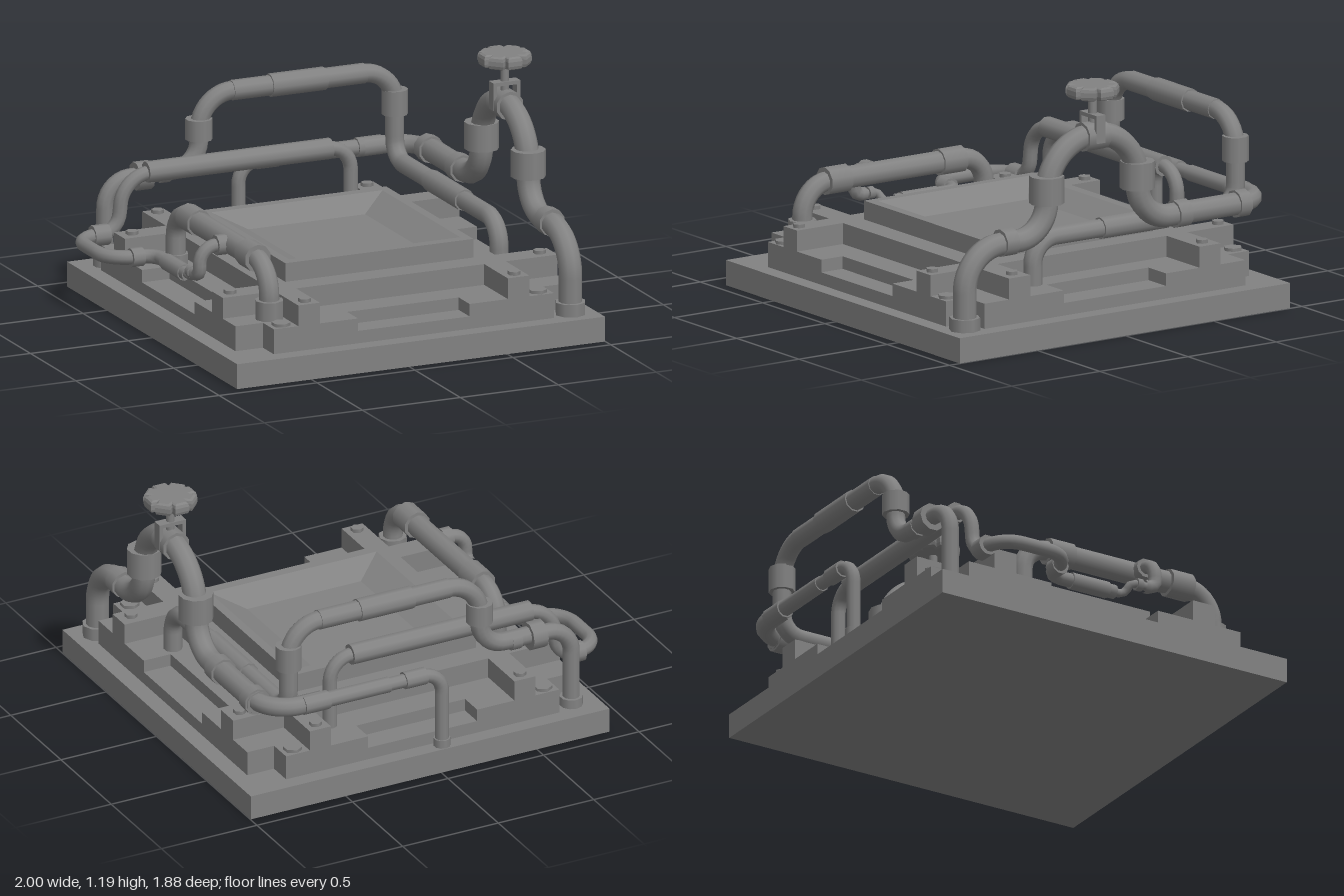
import * as THREE from 'three';

const mat = new THREE.MeshStandardMaterial({ color: 0x828282 });
const CX = 0.059; // centre line of the plate in x
const V = (p) => new THREE.Vector3(...p);

export function createModel() {
  const root = new THREE.Group();
  const add = (name, geo, x = 0, y = 0, z = 0) => {
    const m = new THREE.Mesh(geo, mat);
    m.name = name;
    m.position.set(x, y, z);
    root.add(m);
    return m;
  };
  // Box given by its limits
  const box = (name, x0, x1, y0, y1, z0, z1) =>
    add(name, new THREE.BoxGeometry(x1 - x0, y1 - y0, z1 - z0), (x0 + x1) / 2, (y0 + y1) / 2, (z0 + z1) / 2);
  // Flat outline raised from y0 to y1
  const slab = (name, shape, y0, y1) =>
    add(name, new THREE.ExtrudeGeometry(shape, { depth: y1 - y0, bevelEnabled: false }).rotateX(-Math.PI / 2), CX, y0, 0);
  // Round sleeve centred on a point, along axis 'x', 'y' or 'z'
  const collar = (name, p, axis, r, len, sides = 10) => {
    const g = new THREE.CylinderGeometry(r, r, len, sides);
    if (axis === 'x') g.rotateZ(Math.PI / 2);
    if (axis === 'z') g.rotateX(Math.PI / 2);
    return add(name, g, ...p);
  };
  // Pipe through corner points [x, y, z, bendRadius]
  const pipe = (name, r, pts) => {
    const path = new THREE.CurvePath();
    let from = V(pts[0].slice(0, 3));
    for (let i = 1; i < pts.length; i++) {
      const c = V(pts[i].slice(0, 3));
      if (i === pts.length - 1) { path.add(new THREE.LineCurve3(from, c)); break; }
      const bend = pts[i][3];
      const din = c.clone().sub(V(pts[i - 1].slice(0, 3))).normalize();
      const dout = V(pts[i + 1].slice(0, 3)).sub(c).normalize();
      const a = c.clone().addScaledVector(din, -bend);
      const b = c.clone().addScaledVector(dout, bend);
      if (a.distanceTo(from) > 1e-4) path.add(new THREE.LineCurve3(from, a));
      path.add(new THREE.CubicBezierCurve3(a, a.clone().addScaledVector(din, bend * 0.552),
        b.clone().addScaledVector(dout, -bend * 0.552), b));
      from = b;
    }
    return add(name, new THREE.TubeGeometry(path, Math.ceil(path.getLength() / 0.025), r, 10), 0, 0, 0);
  };

  // Base plate and stepped body
  box('basePlate', -0.88, 0.998, 0, 0.12, -0.935, 0.94);
  const X = 0.855, XI = 0.715, Z = 0.86, ZI = 0.74;
  // One quarter of the outline, mirrored round; notched adds the mid-side recesses
  const outline = (notched) => {
    const quarter = [[X, ZI], [XI, ZI], [XI, Z]];
    if (notched) {
      quarter.unshift([XI, 0.29], [X, 0.29]);
      quarter.push([0.285, Z], [0.285, ZI]);
    }
    const flip = (sx, sz) => quarter.map(([x, z]) => new THREE.Vector2(x * sx, z * sz));
    return new THREE.Shape([...flip(1, 1), ...flip(-1, 1).reverse(), ...flip(-1, -1), ...flip(1, -1).reverse()]);
  };
  slab('lowerBody', outline(false), 0.12, 0.18);
  slab('notchedRim', outline(true), 0.18, 0.24);
  box('deck', CX - 0.59, CX + 0.59, 0.24, 0.34, -0.6, 0.6);

  // Centre panel with a shallow sloping basin
  const rect = (x, z) => [[-x, -z], [-x, z], [x, z], [x, -z]].map((p) => new THREE.Vector2(...p));
  const frame = new THREE.Shape(rect(0.48, 0.48).reverse());
  frame.holes.push(new THREE.Path(rect(0.4375, 0.43)));
  slab('panelFrame', frame, 0.34, 0.43);
  const pos = [];
  const ring = (x, y, z) => rect(x, z).map((p) => [p.x, y, p.y]);
  const top = ring(0.4375, 0.43, 0.43), low = ring(0.2975, 0.36, 0.32);
  const quad = (a, b, c, d) => pos.push(...a, ...b, ...c, ...a, ...c, ...d);
  for (let i = 0; i < 4; i++) {
    const j = (i + 1) % 4;
    quad(top[i], top[j], low[j], low[i]);
  }
  quad(low[0], low[1], low[2], low[3]);
  const basin = new THREE.BufferGeometry();
  basin.setAttribute('position', new THREE.Float32BufferAttribute(pos, 3));
  basin.computeVertexNormals();
  add('panelBasin', basin, CX, 0, 0);

  // Raised corner brackets, level with the deck, and bolts
  const bolt = (r, x, y, z) => collar('bolt', [x, y, z], 'y', r, 0.03, 6);
  for (const sx of [-1, 1]) for (const sz of [-1, 1]) {
    const post = (x0, x1, z0, z1) => {
      const xs = [CX + sx * x0, CX + sx * x1].sort((a, b) => a - b);
      const zs = [sz * z0, sz * z1].sort((a, b) => a - b);
      box('cornerBracket', ...xs, 0.24, 0.34, ...zs);
    };
    post(0.48, 0.59, 0.6, 0.86);
    post(0.59, 0.855, 0.48, 0.6);
    bolt(0.03, CX + sx * 0.535, 0.342, sz * 0.81);
    bolt(0.03, CX + sx * 0.79, 0.342, sz * 0.54);
    bolt(0.045, CX + sx * 0.655, 0.24, sz * 0.81);
  }

  // Large arched pipe on the left side, running round the back
  const AX = 0.875;
  pipe('archPipe', 0.055, [[AX, 0.12, 0.825], [AX, 0.5, 0.825, 0.2], [AX, 0.5, 0.36, 0.17],
    [AX, 0.95, 0.36, 0.25], [AX, 0.95, -0.155, 0.25], [AX, 0.505, -0.155, 0.17], [AX, 0.505, -0.77]]);
  pipe('archPipeBackElbow', 0.045, [[AX, 0.505, -0.72], [AX, 0.505, -0.885, 0.16], [0.6, 0.505, -0.885]]);
  pipe('backPipe', 0.033, [[0.65, 0.505, -0.892], [-0.025, 0.505, -0.892, 0.1], [-0.025, 0.12, -0.892]]);
  collar('archFoot', [AX, 0.15, 0.825], 'y', 0.073, 0.06, 8);
  collar('archCollar', [AX, 0.505, 0.59], 'z', 0.066, 0.07);
  for (const z of [0.36, -0.155]) collar('archCollar', [AX, 0.725, z], 'y', 0.082, 0.13);
  collar('archCollar', [AX, 0.505, -0.395], 'z', 0.066, 0.07);
  collar('archCollar', [AX, 0.505, -0.735], 'z', 0.066, 0.06);
  collar('backCollar', [0.64, 0.505, -0.892], 'x', 0.046, 0.13);
  collar('backSleeve', [0.415, 0.505, -0.892], 'x', 0.038, 0.32);
  collar('backCollar', [0.12, 0.505, -0.892], 'x', 0.042, 0.11);
  collar('backFoot', [-0.025, 0.14, -0.892], 'y', 0.04, 0.04);

  // Valve on the crown of the arch
  collar('valveCollar', [AX, 0.945, 0.1], 'z', 0.07, 0.12);
  for (const s of [-1, 1]) box('valveYokeSide', AX - 0.009 + s * 0.06, AX + 0.009 + s * 0.06, 0.92, 1.05, 0.075, 0.125);
  box('valveYokeTop', AX - 0.069, AX + 0.069, 1.035, 1.053, 0.075, 0.125);
  collar('valveStem', [AX, 1.08, 0.1], 'y', 0.02, 0.18);
  // Handwheel with eight blunt teeth
  const wheel = new THREE.Shape();
  for (let i = 0; i < 8; i++) for (const [da, r] of [[-0.22, 0.107], [0.22, 0.107], [0.393, 0.078]]) {
    const a = (i * Math.PI) / 4 + da;
    wheel[i || da > 0 ? 'lineTo' : 'moveTo'](r * Math.cos(a), r * Math.sin(a));
  }
  const wheelGeo = new THREE.ExtrudeGeometry(wheel, { depth: 0.022, bevelThickness: 0.02, bevelSize: 0.016, bevelSegments: 2 });
  add('valveWheel', wheelGeo.rotateX(-Math.PI / 2), AX, 1.152, 0.1);

  // Inner pipe rising into the tall back loop
  pipe('innerPipe', 0.044, [[0.735, 0.18, 0.34], [0.735, 0.455, 0.34, 0.12], [0.735, 0.455, -0.81, 0.1],
    [0.735, 0.885, -0.81, 0.16], [-0.265, 0.885, -0.81, 0.17], [-0.265, 0.535, -0.81, 0.13], [-0.57, 0.535, -0.81]]);
  collar('innerSleeve', [0.735, 0.455, -0.225], 'z', 0.052, 0.37);
  collar('loopCollar', [0.735, 0.73, -0.81], 'y', 0.062, 0.12);
  collar('loopCollar', [-0.265, 0.72, -0.81], 'y', 0.064, 0.1);
  collar('loopSleeve', [0.235, 0.885, -0.81], 'x', 0.055, 0.28);
  collar('loopTube', [0.24, 0.885, -0.81], 'x', 0.048, 0.68);
  pipe('loopDownPipe', 0.04, [[-0.45, 0.53, -0.81], [-0.745, 0.53, -0.81, 0.13], [-0.745, 0.12, -0.81]]);
  collar('loopEndCollar', [-0.555, 0.53, -0.81], 'x', 0.068, 0.075);
  collar('loopEndRing', [-0.445, 0.53, -0.81], 'x', 0.047, 0.05);
  collar('loopFoot', [-0.745, 0.14, -0.81], 'y', 0.055, 0.05);

  // Straight back pipe, dropping and hooking round the right side
  collar('straightSleeve', [-0.125, 0.585, -0.68], 'x', 0.05, 0.94);
  pipe('straightPipe', 0.034, [[0.45, 0.18, -0.68], [0.45, 0.585, -0.68, 0.11], [-0.71, 0.58, -0.68, 0.13],
    [-0.74, 0.31, -0.68, 0.09], [-0.965, 0.31, -0.68, 0.13], [-0.965, 0.31, -0.28, 0.14],
    [-0.735, 0.31, -0.28, 0.08], [-0.735, 0.31, 0.09]]);
  collar('hookCollar', [-0.83, 0.31, -0.68], 'x', 0.05, 0.08);
  collar('hookCollar', [-0.83, 0.31, -0.28], 'x', 0.045, 0.06);
  collar('hookSleeve', [-0.735, 0.31, -0.05], 'z', 0.04, 0.2);

  // Branch dropping from the right side pipe, joined by a thin stepped link
  pipe('branchPipe', 0.032, [[-0.605, 0.5, 0.29], [-0.77, 0.5, 0.29, 0.08], [-0.77, 0.36, 0.29, 0.04], [-0.77, 0.36, 0.23]]);
  collar('branchCollar', [-0.665, 0.5, 0.29], 'x', 0.048, 0.05);
  pipe('linkPipe', 0.02, [[-0.77, 0.36, 0.25], [-0.77, 0.36, 0.16, 0.02], [-0.735, 0.31, 0.14, 0.025], [-0.735, 0.31, 0.07]]);
  collar('linkCollar', [-0.77, 0.36, 0.2], 'z', 0.03, 0.03);

  // Right side pipe
  pipe('sidePipe', 0.047, [[-0.605, 0.2, 0.7], [-0.605, 0.5, 0.7, 0.15], [-0.605, 0.5, -0.33, 0.13], [-0.605, 0.2, -0.33]]);
  collar('sideFoot', [-0.605, 0.29, 0.7], 'y', 0.068, 0.09, 8);
  collar('sideFoot', [-0.605, 0.26, -0.33], 'y', 0.06, 0.06, 8);
  collar('sideSleeve', [-0.605, 0.5, 0.15], 'z', 0.054, 0.6);
  collar('sideCollar', [-0.605, 0.5, 0.515], 'z', 0.067, 0.12);
  collar('sideCollar', [-0.605, 0.5, -0.135], 'z', 0.064, 0.13);
  return root;
}
